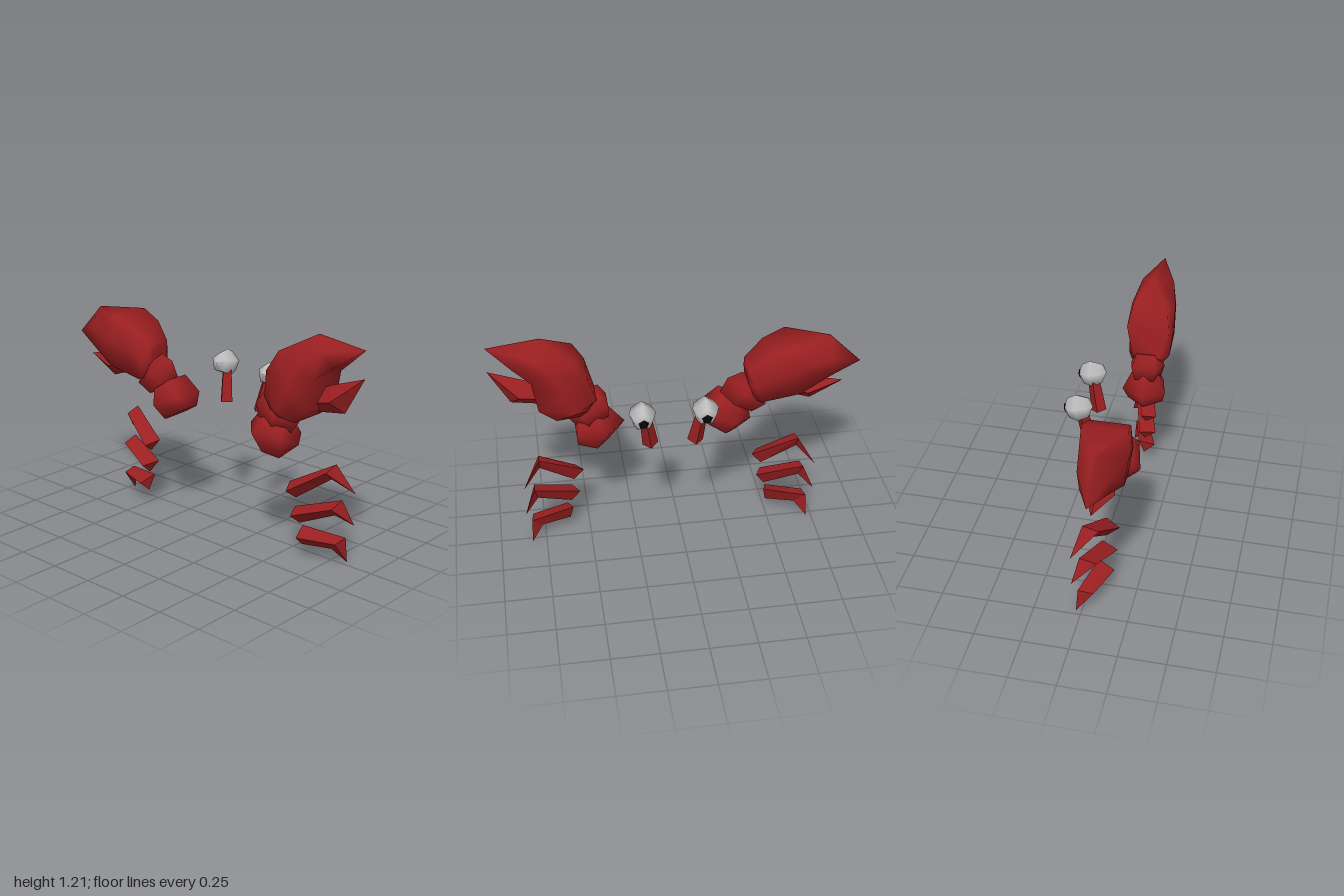
import * as THREE from 'three';

const red = new THREE.MeshStandardMaterial({ color: 0x9b1f21 });
red.name = 'shell red';
const grey = new THREE.MeshStandardMaterial({ color: 0xc0c0c0 });
grey.name = 'eye grey';
const black = new THREE.MeshStandardMaterial({ color: 0x0a0a0a });
black.name = 'pupil black';

const MID = 0.0525; // x of the mirror plane for eyes and legs
const ARM_Z = 0.1; // z of the plane both arms lie in

// Skin a list of equal rings, closed by a pole at each end; faces are turned outward.
function loft(rings, { start, end, flat = false } = {}) {
  const n = rings[0].length;
  const mean = (r) => [0, 1, 2].map((k) => r.reduce((s, p) => s + p[k], 0) / n);
  const pts = [...rings.flat(), start ?? mean(rings[0]), end ?? mean(rings[rings.length - 1])];
  const a = pts.length - 2, b = a + 1, last = (rings.length - 1) * n;
  const tris = [];
  for (let i = 0; i < n; i++) {
    const j = (i + 1) % n;
    tris.push([a, j, i], [b, last + i, last + j]);
    for (let o = 0; o < last; o += n) tris.push([o + i, o + j, o + n + j], [o + i, o + n + j, o + n + i]);
  }
  const c = new THREE.Vector3(...mean(rings[0]));
  const v = (k) => new THREE.Vector3(...pts[k]).sub(c);
  const volume = tris.reduce((s, [p, q, r]) => s + v(p).dot(v(q).cross(v(r))), 0);
  if (volume < 0) tris.forEach((t) => t.reverse());
  let g = new THREE.BufferGeometry();
  g.setAttribute('position', new THREE.Float32BufferAttribute(pts.flat(), 3));
  g.setIndex(tris.flat());
  if (flat) g = g.toNonIndexed();
  g.computeVertexNormals();
  return g;
}

// Cross-sections: position across the limb, share of the half depth
const SHELL = () => [[0, 0], [0.4, 1], [1, 0.7], [1, -0.7], [0.4, -1]];
const DIAMOND = () => [[0, 0], [0.5, 1], [1, 0], [0.5, -1]];
const CLAW = (r) => [[0, r], [0.5, 1], [1, 0.88], [1, -0.88], [0.5, -1], [0, -r]];

// Each section: ridge x, ridge y, opposite x, opposite y, half depth, width of a claw's ridge
const sectionRings = (sections, shape) => sections.map(([x1, y1, x2, y2, d, r]) =>
  shape(r).map(([t, w]) => [x1 + (x2 - x1) * t, y1 + (y2 - y1) * t, ARM_Z + w * d]));

function add(group, name, geometry, material) {
  const m = new THREE.Mesh(geometry, material);
  m.name = name;
  group.add(m);
  return m;
}

const ARMS = {
  leftArm: {
    clawTip: [0.99, 1.18],
    claw: [[0.71, 1.21, 0.86, 1.085, 0.088, 0.1], [0.54, 1.115, 0.77, 1.015, 0.122, 0.78],
      [0.48, 1.01, 0.74, 0.84, 0.122, 0.95], [0.435, 0.86, 0.65, 0.77, 0.115, 0.65],
      [0.45, 0.84, 0.525, 0.77, 0.09, 0.7]],
    pincerTip: [0.99, 1.04],
    pincer: [[0.79, 0.97, 0.88, 0.845, 0.073], [0.68, 0.92, 0.72, 0.82, 0.04]],
    wrist: [[0.56, 0.81, 0.42, 0.88, 0.07], [0.6, 0.735, 0.375, 0.81, 0.095], [0.545, 0.665, 0.375, 0.74, 0.075]],
    shoulder: [[0.37, 0.77, 0.54, 0.7, 0.08], [0.285, 0.67, 0.55, 0.65, 0.12], [0.375, 0.56, 0.545, 0.585, 0.1]],
    shoulderEnd: [0.475, 0.515, ARM_Z],
  },
  rightArm: {
    clawTip: [-1, 0.93],
    claw: [[-0.825, 1.1, -0.825, 0.897, 0.085, 0.1], [-0.6, 1.105, -0.65, 0.815, 0.122, 0.95],
      [-0.48, 1.055, -0.52, 0.79, 0.115, 0.9], [-0.375, 0.97, -0.445, 0.77, 0.102, 0.62],
      [-0.37, 0.93, -0.39, 0.79, 0.065, 0.8]],
    pincerTip: [-0.91, 0.815],
    pincer: [[-0.68, 0.865, -0.73, 0.72, 0.073], [-0.52, 0.87, -0.53, 0.79, 0.04]],
    wrist: [[-0.35, 0.915, -0.45, 0.79, 0.065], [-0.275, 0.885, -0.475, 0.74, 0.09], [-0.235, 0.805, -0.4, 0.69, 0.07]],
    shoulder: [[-0.395, 0.69, -0.235, 0.805, 0.085], [-0.405, 0.615, -0.155, 0.72, 0.12], [-0.32, 0.55, -0.155, 0.645, 0.09]],
  },
};

function makeArm(name, p) {
  const g = new THREE.Group();
  g.name = name;
  add(g, 'claw', loft(sectionRings(p.claw, CLAW), { start: [...p.clawTip, ARM_Z] }), red);
  add(g, 'pincer', loft(sectionRings(p.pincer, DIAMOND), { start: [...p.pincerTip, ARM_Z], flat: true }), red);
  add(g, 'wrist', loft(sectionRings(p.wrist, SHELL)), red);
  add(g, 'shoulder', loft(sectionRings(p.shoulder, SHELL), { end: p.shoulderEnd }), red);
  return g;
}

// Legs: three-cornered root, three-cornered knee, pointed foot
const LEGS = {
  upperLeg: {
    root: [[0.52, 0.393, 0.065], [0.558, 0.37, 0.145], [0.575, 0.322, 0.08]],
    knee: [[0.762, 0.525, -0.005], [0.76, 0.5, 0.08], [0.76, 0.455, 0.03]],
    foot: [0.853, 0.375, -0.05],
  },
  middleLeg: {
    root: [[0.547, 0.257, 0.05], [0.585, 0.24, 0.14], [0.595, 0.185, 0.072]],
    knee: [[0.797, 0.338, -0.015], [0.795, 0.312, 0.075], [0.78, 0.262, 0.02]],
    foot: [0.853, 0.205, -0.047],
  },
  lowerLeg: {
    root: [[0.59, 0.16, 0.04], [0.617, 0.125, 0.13], [0.607, 0.07, 0.07]],
    knee: [[0.822, 0.137, -0.02], [0.815, 0.122, 0.06], [0.765, 0.072, 0.02]],
    foot: [0.828, 0, -0.03],
  },
};

export function createModel() {
  const model = new THREE.Group();
  model.name = 'crustacean';
  for (const [name, p] of Object.entries(ARMS)) model.add(makeArm(name, p));

  for (const side of [1, -1]) {
    const label = side > 0 ? 'left' : 'right';
    const mx = ([x, y, z]) => [MID + side * (x - MID), y, z];

    // Legs
    for (const [name, { root, knee, foot }] of Object.entries(LEGS)) {
      add(model, `${label} ${name}`, loft([root.map(mx), knee.map(mx)], { end: mx(foot), flat: true }), red);
    }

    // Eye stalk
    const low = new THREE.Vector3(...mx([0.172, 0.652, -0.106]));
    const high = new THREE.Vector3(...mx([0.2, 0.84, -0.142]));
    const dir = high.clone().sub(low);
    const stalkGeo = new THREE.CylinderGeometry(0.031, 0.042, dir.length(), 4).toNonIndexed();
    stalkGeo.computeVertexNormals();
    const stalk = add(model, `${label} eyeStalk`, stalkGeo, red);
    stalk.position.copy(low).add(high).multiplyScalar(0.5);
    stalk.quaternion.setFromUnitVectors(new THREE.Vector3(0, 1, 0), dir.normalize());

    // Five-sided eyeball with the pupil looking backwards
    const eye = new THREE.Group();
    eye.name = `${label} eye`;
    const profile = [[0, -0.076], [0.056, -0.05], [0.074, 0.005], [0.056, 0.052], [0.028, 0.068], [0, 0.07]];
    add(eye, 'eyeball', new THREE.LatheGeometry(profile.map((p) => new THREE.Vector2(...p)), 5), grey);
    const pupil = add(eye, 'pupil', new THREE.CylinderGeometry(0.022, 0.03, 0.009, 5), black);
    pupil.position.y = 0.0715;
    eye.rotation.x = -Math.PI / 2 - 0.17;
    eye.position.set(...mx([0.217, 0.858, -0.148]));
    model.add(eye);
  }
  return model;
}
